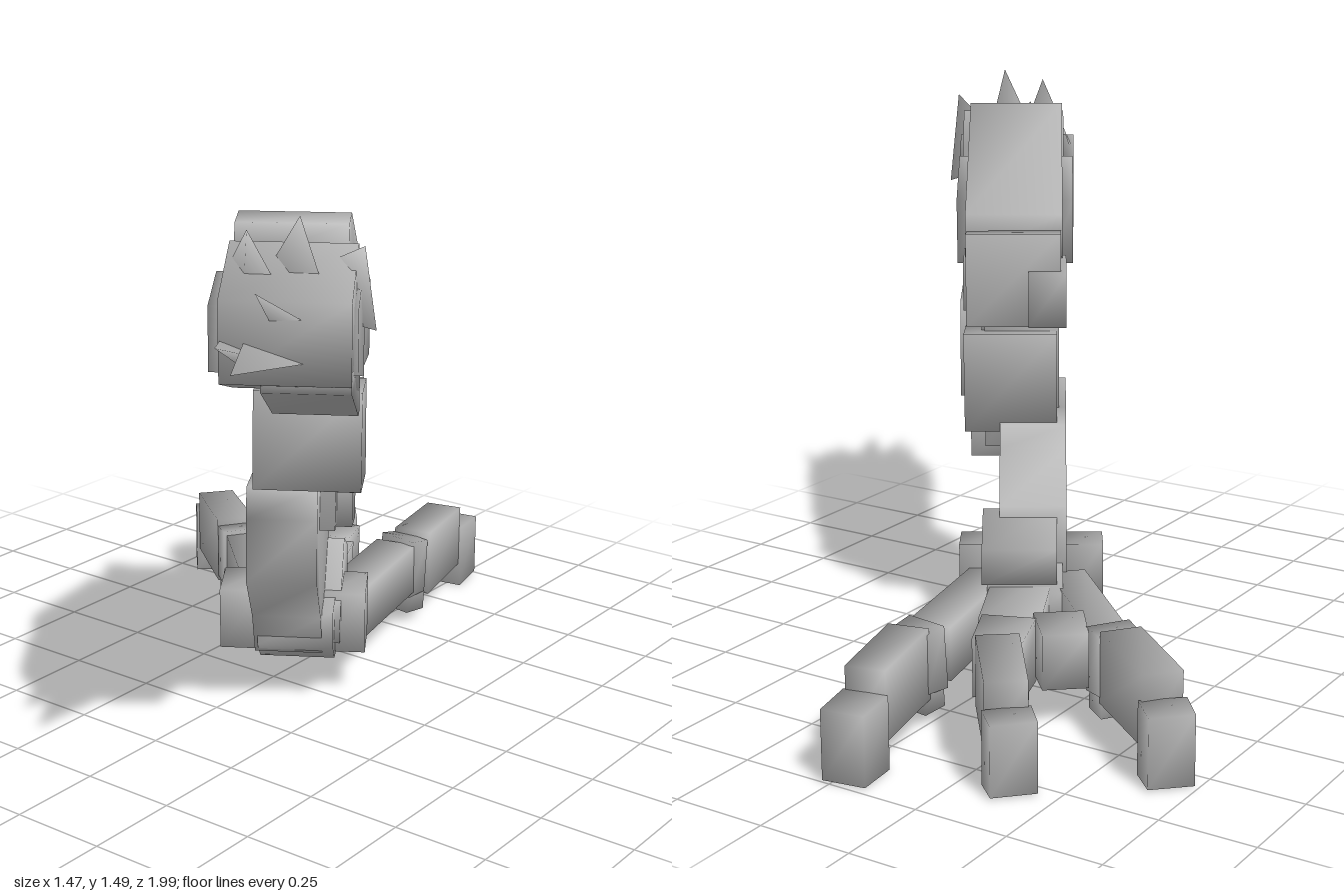
import * as THREE from 'three';
import { mergeVertices } from 'three/addons/utils/BufferGeometryUtils.js';

const metal = new THREE.MeshStandardMaterial({ color: 0xb4b4b4, side: THREE.DoubleSide });
metal.name = 'grey metal';

// Weld corners so each block is shaded softly
function soften(geo) {
  geo.deleteAttribute('normal');
  geo.deleteAttribute('uv');
  const g = mergeVertices(geo, 1e-4);
  g.computeVertexNormals();
  return g;
}

// Side outline [along, up] given a width across the limb, centred at s
function slab(parent, name, pts, width, s = 0) {
  const shape = new THREE.Shape(pts.map(p => new THREE.Vector2(p[0], p[1])));
  const geo = new THREE.ExtrudeGeometry(shape, { depth: width, bevelEnabled: false });
  geo.translate(0, 0, -width / 2);
  geo.rotateY(-Math.PI / 2);
  geo.translate(s, 0, 0);
  const mesh = new THREE.Mesh(soften(geo), metal);
  mesh.name = name;
  parent.add(mesh);
}

// Box running from a to b, with its far end scaled by taper
function bar(parent, name, a, b, w, h, taper = 1) {
  const p = new THREE.Vector3(...a), q = new THREE.Vector3(...b);
  const geo = new THREE.BoxGeometry(w, h, p.distanceTo(q));
  const pos = geo.attributes.position;
  for (let i = 0; i < pos.count; i++) {
    if (pos.getZ(i) > 0) pos.setXY(i, pos.getX(i) * taper, pos.getY(i) * taper);
  }
  const mesh = new THREE.Mesh(soften(geo), metal);
  mesh.name = name;
  mesh.position.copy(p).add(q).multiplyScalar(0.5);
  mesh.lookAt(q);
  parent.add(mesh);
}

// Flat jagged shard from a to b
function shard(parent, a, b, r) {
  const p = new THREE.Vector3(...a), q = new THREE.Vector3(...b);
  const geo = new THREE.ConeGeometry(r, p.distanceTo(q), 3);
  geo.scale(1, 1, 0.35);
  const mesh = new THREE.Mesh(soften(geo), metal);
  mesh.name = 'tornShard';
  mesh.position.copy(p).add(q).multiplyScalar(0.5);
  mesh.quaternion.setFromUnitVectors(new THREE.Vector3(0, 1, 0), q.sub(p).normalize());
  parent.add(mesh);
}

export function createModel() {
  const model = new THREE.Group();
  model.name = 'mechanicalLimb';

  // The limb lies in one upright plane, turned about y
  const limb = new THREE.Group();
  limb.name = 'limb';
  limb.position.x = 0.125;
  limb.rotation.y = 0.56;
  model.add(limb);

  // Upper limb, rising towards the torn end
  slab(limb, 'upperCover', [[0.03, 1.08], [0.05, 1.19], [0.52, 1.43], [0.6, 1.42], [0.64, 1.33], [0.6, 1.12], [0.2, 1.03]], 0.26);
  slab(limb, 'upperEndBlock', [[0.54, 1.3], [0.56, 1.04], [0.6, 1.03], [0.88, 1.12], [0.89, 1.31], [0.66, 1.39]], 0.29, 0.01);
  slab(limb, 'endUnderside', [[0.55, 1.1], [0.57, 0.97], [0.6, 0.97], [0.87, 1.1], [0.87, 1.15]], 0.2, 0.055);
  for (const side of [-1, 1]) {
    slab(limb, 'sidePod', [[0.22, 1.2], [0.24, 1.02], [0.5, 1.06], [0.52, 1.25], [0.44, 1.29]], 0.06, side * 0.13);
    slab(limb, 'sidePanel', [[0.58, 1.26], [0.58, 1.06], [0.82, 1.13], [0.82, 1.28], [0.66, 1.32]], 0.03, side * 0.15);
  }

  // Torn end
  const shards = [
    [[0.50, 1.25, 0.58], [0.61, 1.49, 0.70], 0.12],
    [[0.42, 1.25, 0.62], [0.52, 1.46, 0.77], 0.12],
    [[0.55, 1.24, 0.48], [0.71, 1.42, 0.60], 0.12],
    [[0.52, 1.22, 0.62], [0.66, 1.37, 0.92], 0.12],
    [[0.54, 1.17, 0.66], [0.65, 1.21, 0.99], 0.11],
    [[0.48, 1.15, 0.68], [0.56, 1.24, 0.93], 0.11],
  ];
  for (const [a, b, r] of shards) shard(model, a, b, r);

  // Elbow
  slab(limb, 'elbowCap', [[-0.08, 1.16], [-0.07, 0.91], [0.02, 0.91], [0.03, 1.15]], 0.25);
  slab(limb, 'elbowHub', [[-0.12, 0.92], [-0.11, 1.06], [0.1, 1.07], [0.1, 0.92]], 0.1, -0.09);
  slab(limb, 'elbowHub', [[0.0, 1.06], [0.0, 0.94], [0.13, 0.93], [0.17, 1.07], [0.1, 1.09]], 0.13, 0.07);
  slab(limb, 'elbowNeck', [[0.06, 0.85], [0.22, 0.85], [0.27, 1.1], [0.08, 1.1]], 0.18);

  // Middle blocks
  slab(limb, 'frontBlock', [[0.15, 0.93], [0.32, 0.94], [0.34, 0.69], [0.13, 0.67]], 0.27, 0.015);
  slab(limb, 'backBlock', [[-0.03, 0.88], [0.01, 0.6], [0.2, 0.64], [0.2, 0.86]], 0.25, 0.01);
  slab(limb, 'middleCore', [[0.04, 0.55], [0.04, 0.92], [0.15, 0.92], [0.24, 0.55]], 0.2, -0.02);

  // Lower limb curving to the wrist
  slab(limb, 'lowerShell', [[0.0, 0.62], [0.04, 0.66], [0.29, 0.68], [0.31, 0.6], [0.31, 0.43], [0.17, 0.28], [0.1, 0.15], [-0.1, 0.15], [-0.15, 0.3], [-0.1, 0.42], [-0.02, 0.56]], 0.18, -0.05);
  slab(limb, 'lowerJoint', [[0.05, 0.52], [0.06, 0.68], [0.18, 0.7], [0.18, 0.54]], 0.24);
  slab(limb, 'wristGuard', [[-0.24, 0.25], [-0.22, 0.34], [-0.08, 0.41], [0.05, 0.28], [0.1, 0.18], [0.0, 0.15]], 0.2, -0.015);
  slab(limb, 'palm', [[-0.28, 0.24], [-0.28, 0.09], [0.06, 0.12], [0.13, 0.18], [0.13, 0.28], [-0.05, 0.3]], 0.2, -0.03);
  for (const side of [-1, 1]) {
    slab(limb, 'wristBlock', [[-0.09, 0.31], [-0.08, 0.14], [0.04, 0.13], [0.05, 0.3]], 0.11, side * 0.14 - 0.045);
  }

  // Fingers: base, knuckle, outer link and tip
  const fingers = [
    { w: 0.12, k: 0.12, path: [[0.13, 0.17, -0.1], [0.035, 0.17, -0.54], [0.045, 0.165, -0.61], [-0.015, 0.16, -0.87], [-0.035, 0.09, -0.99]] },
    { w: 0.16, k: 0.14, path: [[0.05, 0.175, -0.06], [-0.13, 0.175, -0.42], [-0.18, 0.17, -0.55], [-0.35, 0.165, -0.77], [-0.41, 0.1, -0.83]] },
    { w: 0.1, k: 0.12, path: [[-0.06, 0.175, -0.03], [-0.36, 0.17, -0.32], [-0.42, 0.17, -0.36], [-0.635, 0.165, -0.53], [-0.7, 0.1, -0.6]] },
  ];
  for (const { w, k, path: [a, b, c, d, e] } of fingers) {
    const finger = new THREE.Group();
    finger.name = 'finger';
    model.add(finger);
    bar(finger, 'fingerBase', a, b, w, 0.145);
    bar(finger, 'knuckle', b, c, k, 0.17, 0.92);
    bar(finger, 'fingerLink', c, d, 0.11, 0.19, 0.96);
    // Tip hangs down to the ground
    bar(finger, 'fingerTip', [d[0], 0.095, d[2]], [e[0], 0.095, e[2]], 0.12, 0.19, 0.95);
    // Small pad under the knuckle
    bar(finger, 'knucklePad', [b[0], 0.085, b[2]], [c[0], 0.08, c[2]], 0.1, 0.1);
  }
  // Short thumb beside the middle finger
  bar(model, 'thumb', [-0.22, 0.18, -0.33], [-0.31, 0.18, -0.44], 0.13, 0.16, 0.9);
  return model;
}
